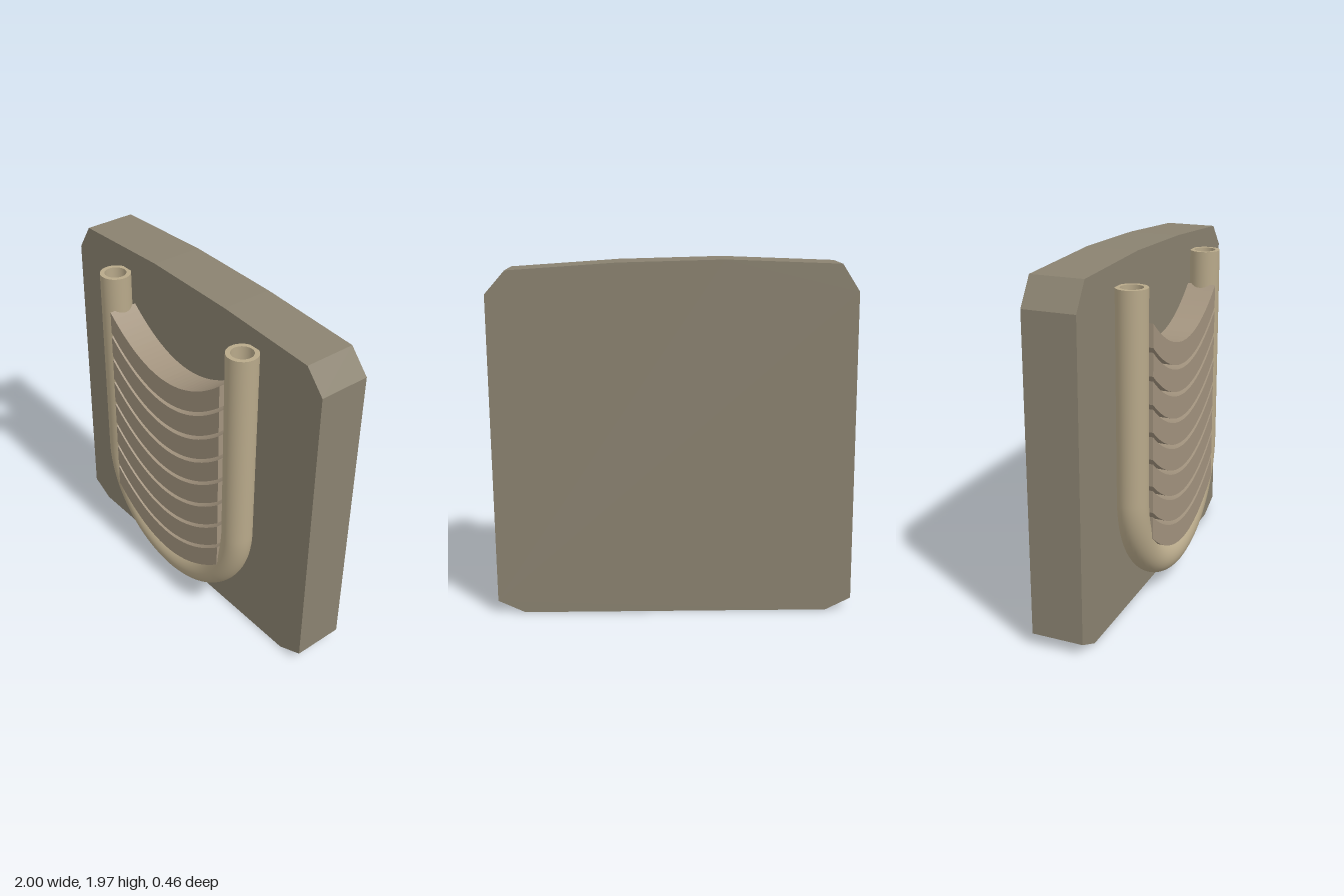
import * as THREE from 'three';

const SLAB_FRONT = 0.06, SLAB_BACK = -0.23;
const PIPE_X = 0.528, PIPE_Z = 0.138, PIPE_R = 0.085, BORE_R = 0.06;
const BEND_Y = 0.692, PIPE_TOP = 1.84;

const paint = (color, side = THREE.FrontSide) => new THREE.MeshStandardMaterial({ color, side });

function addMesh(parent, name, geometry, material) {
  const mesh = new THREE.Mesh(geometry, material);
  mesh.name = name;
  parent.add(mesh);
  return mesh;
}

function extrude(shape, z0, z1, curveSegments = 1) {
  const g = new THREE.ExtrudeGeometry(shape, { depth: z1 - z0, bevelEnabled: false, curveSegments });
  return g.translate(0, 0, z0);
}

// U-shaped centre line: straight leg, half circle, straight leg
class UCurve extends THREE.Curve {
  getPoint(t, target = new THREE.Vector3()) {
    const leg = PIPE_TOP - BEND_Y, arc = Math.PI * PIPE_X;
    const d = t * (2 * leg + arc);
    if (d < leg) return target.set(-PIPE_X, PIPE_TOP - d, PIPE_Z);
    if (d > leg + arc) return target.set(PIPE_X, BEND_Y + d - leg - arc, PIPE_Z);
    const a = Math.PI + (d - leg) / PIPE_X;
    return target.set(PIPE_X * Math.cos(a), BEND_Y + PIPE_X * Math.sin(a), PIPE_Z);
  }
}

export function createModel() {
  const model = new THREE.Group();
  model.name = 'wallPanelWithPipe';

  // Rough-cut slab with clipped corners and a slightly bowed top
  const outline = [
    [-0.86, 0], [0.84, 0], [0.99, 0.07], [1, 1.79], [0.89, 1.915],
    [0.3, 1.955], [-0.27, 1.97], [-0.89, 1.947], [-0.985, 1.8], [-1, 0.07],
  ].map(([x, y]) => new THREE.Vector2(x, y));
  addMesh(model, 'slab', extrude(new THREE.Shape(outline), SLAB_BACK, SLAB_FRONT), paint(0x8a8270));

  // Hollow U pipe: outer wall, bore and the two end rims
  const pipe = new THREE.Group();
  pipe.name = 'pipe';
  model.add(pipe);
  const path = new UCurve();
  const pipeColor = 0xb8a98a;
  addMesh(pipe, 'pipeOuterWall', new THREE.TubeGeometry(path, 120, PIPE_R, 32), paint(pipeColor));
  addMesh(pipe, 'pipeBore', new THREE.TubeGeometry(path, 120, BORE_R, 32), paint(pipeColor, THREE.BackSide));
  for (const side of [-1, 1]) {
    const rim = addMesh(pipe, side > 0 ? 'leftRim' : 'rightRim',
      new THREE.RingGeometry(BORE_R, PIPE_R, 32), paint(pipeColor));
    rim.rotation.x = -Math.PI / 2;
    rim.position.set(side * PIPE_X, PIPE_TOP, PIPE_Z);
  }

  // Eight sagging slats strung between the legs
  const slats = new THREE.Group();
  slats.name = 'slats';
  model.add(slats);
  const W = 0.465, SAG = 0.2, H = 0.127, PITCH = 0.152;
  const band = new THREE.Shape();
  band.moveTo(-W, SAG - H);
  band.quadraticCurveTo(0, -SAG - H, W, SAG - H);
  band.lineTo(W, SAG);
  band.quadraticCurveTo(0, -SAG, -W, SAG);
  const slatGeometry = extrude(band, SLAB_FRONT - 0.01, 0.226, 28);
  const slatMaterial = paint(0xa2937e);
  for (let i = 0; i < 8; i++) {
    addMesh(slats, `slat${i + 1}`, slatGeometry, slatMaterial).position.y = 1.45 - i * PITCH;
  }

  return model;
}
